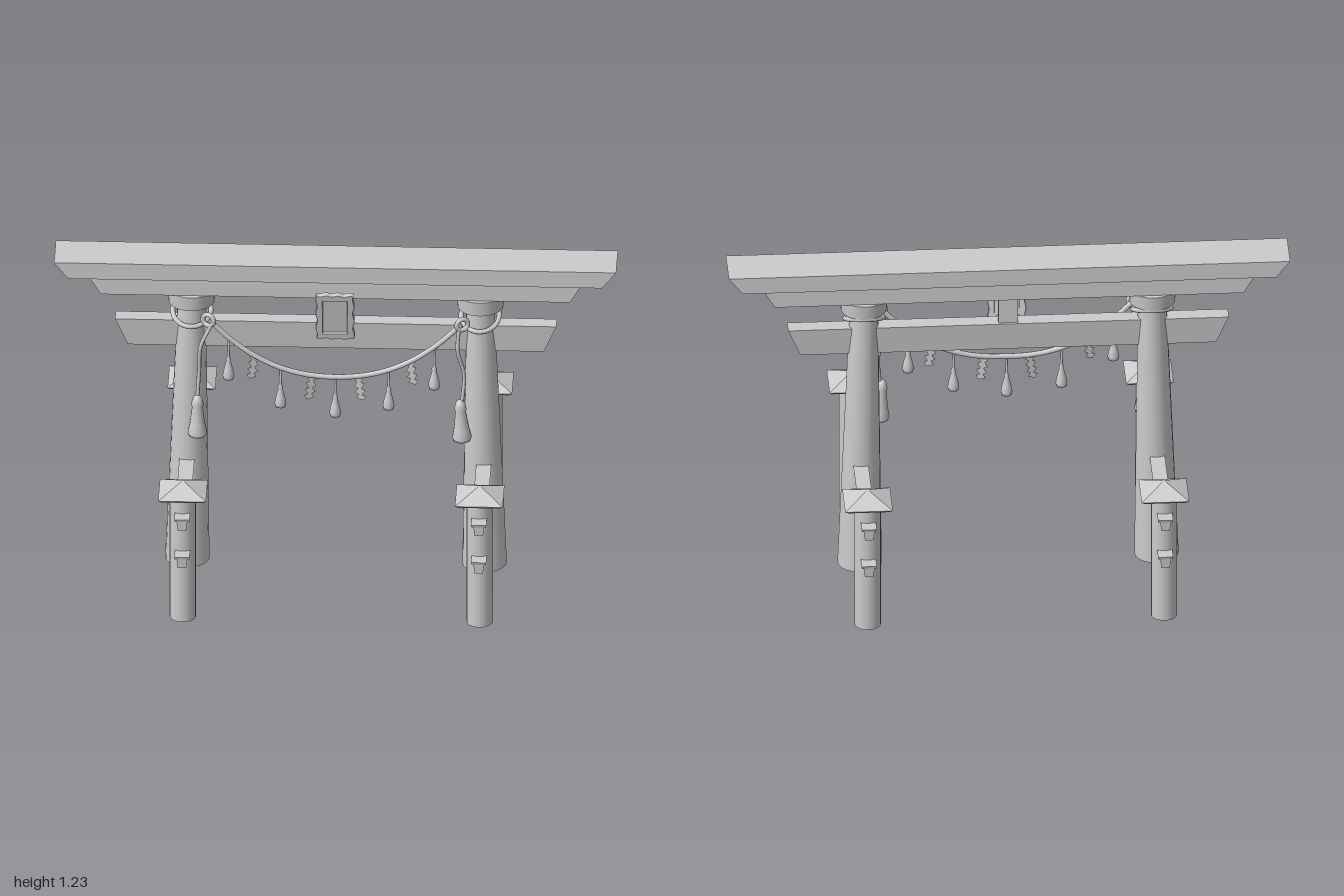
import * as THREE from 'three';

const V = (x, y, z) => new THREE.Vector3(x, y, z);

export function createModel() {
  const root = new THREE.Group();
  const smooth = new THREE.MeshStandardMaterial({ color: 0xcccccc });
  const flat = new THREE.MeshStandardMaterial({ color: 0xcccccc, flatShading: true });
  const thin = new THREE.MeshStandardMaterial({ color: 0xcccccc, side: THREE.DoubleSide });

  const add = (name, geo, x = 0, y = 0, z = 0, mat = smooth, parent = root) => {
    const m = new THREE.Mesh(geo, mat);
    m.name = name;
    m.position.set(x, y, z);
    parent.add(m);
    return m;
  };

  // Box with separate half sizes at its bottom and top
  const taperBox = (y0, y1, bx, bz, tx, tz) => {
    const g = new THREE.BoxGeometry(2, 1, 2);
    const p = g.attributes.position;
    for (let i = 0; i < p.count; i++) {
      const top = p.getY(i) > 0;
      p.setXYZ(i, p.getX(i) * (top ? tx : bx), top ? y1 : y0, p.getZ(i) * (top ? tz : bz));
    }
    g.computeVertexNormals();
    return g;
  };
  const rope = (points, r, closed = false, n = 48) =>
    new THREE.TubeGeometry(new THREE.CatmullRomCurve3(points, closed), n, r, 8, closed);
  const lathe = (pts, n = 14) =>
    new THREE.LatheGeometry(pts.map(([r, y]) => new THREE.Vector2(r, y)), n);

  // Cross beams
  add('topLintel', taperBox(1.164, 1.227, 0.95, 0.085, 1, 0.085), 0, 0, 0, flat);
  add('secondLintel', taperBox(1.095, 1.164, 0.835, 0.067, 0.876, 0.067), 0, 0, 0, flat);
  add('tieBeam', taperBox(0.87, 0.977, 0.74, 0.018, 0.785, 0.03), 0, 0, 0, flat);
  add('centreStrut', new THREE.BoxGeometry(0.07, 0.12, 0.04), 0, 1.036, 0, flat);

  for (const s of [-1, 1]) {
    // Leaning main pillar and its collar
    const pillar = add('mainPillar', new THREE.CylinderGeometry(0.05, 0.079, 1.05, 20), s * 0.521, 0.535, 0);
    pillar.rotation.z = s * 0.015;
    add('pillarCollar', new THREE.CylinderGeometry(0.086, 0.081, 0.055, 24), s * 0.514, 1.068, 0);

    // Side fence: rails with a wider cap strip
    for (const y of [0.239, 0.389]) {
      add('fenceRail', taperBox(y, y + 0.036, 0.015, 0.52, 0.019, 0.522), s * 0.528, 0, 0, flat);
      add('railCap', taperBox(y + 0.036, y + 0.046, 0.026, 0.523, 0.027, 0.526), s * 0.528, 0, 0, flat);
    }
    for (const z of [-0.432, 0.432]) {
      const post = new THREE.Group();
      post.name = 'fencePost';
      post.position.set(s * 0.528, 0, z);
      root.add(post);
      add('postShaft', new THREE.CylinderGeometry(0.047, 0.047, 0.485, 20), 0, 0.2425, 0, smooth, post);
      add('postNeck', new THREE.CylinderGeometry(0.051, 0.051, 0.014, 20), 0, 0.489, 0, smooth, post);
      add('roofSoffit', taperBox(0.493, 0.504, 0.073, 0.073, 0.085, 0.085), 0, 0, 0, flat, post);
      add('roofPyramid', taperBox(0.504, 0.543, 0.085, 0.085, 0.006, 0.006), 0, 0, 0, flat, post);
    }

    // Rope wound round the pillar, higher at the back
    const loop = [];
    for (let i = 0; i < 12; i++) {
      const a = i / 12 * Math.PI * 2;
      loop.push(V(s * 0.513 + 0.068 * Math.cos(a), 1.005 - 0.032 * Math.sin(a), 0.072 * Math.sin(a)));
    }
    add('pillarRope', rope(loop, 0.009, true), 0, 0, 0);

    // Knot, hanging cord and large tassel
    const kx = s * 0.452;
    const knot = add('ropeKnot', new THREE.TorusGeometry(0.021, 0.009, 8, 18), kx, 0.998, 0.066);
    knot.rotation.y = s * 0.4;
    const tx = s < 0 ? -0.49 : 0.452;
    add('tasselCord', rope([V(kx - s * 0.012, 0.985, 0.072), V(s < 0 ? -0.478 : 0.436, 0.9, 0.082),
      V(tx + 0.006, 0.8, 0.072), V(tx, 0.7, 0.08)], 0.007), 0, 0, 0);
    const big = add('largeTassel', lathe([[0, 0], [0.031, 0], [0.035, 0.012], [0.028, 0.045], [0.025, 0.065],
      [0.019, 0.115], [0.022, 0.122], [0.019, 0.14], [0.012, 0.155], [0, 0.162]]), tx, 0.545, 0.082);
    big.rotation.z = s < 0 ? 0 : 0.05;
  }

  // Swag rope between the pillars
  const sag = x => 0.785 + 0.215 * Math.pow(Math.abs(x) / 0.45, 2.3);
  const depth = x => 0.078 - 0.012 * Math.abs(x) / 0.45;
  const swag = [];
  for (let i = -6; i <= 6; i++) swag.push(V(i * 0.075, sag(i * 0.075), depth(i * 0.075)));
  add('swagRope', rope(swag, 0.01, false, 72));

  // Small bell-shaped tassels
  const bell = lathe([[0, -0.155], [0.018, -0.155], [0.021, -0.143], [0.017, -0.12], [0.008, -0.085],
    [0.01, -0.078], [0.005, -0.066], [0.004, 0], [0, 0]], 12);
  for (const x of [-0.38, -0.195, 0, 0.19, 0.352])
    add('smallTassel', bell, x, sag(x) + (Math.abs(x) > 0.3 ? -0.01 : 0), depth(x));

  // Zigzag paper streamers
  const zig = new THREE.Shape();
  const edge = [[0, 0], [0.01, -0.02], [-0.002, -0.026], [0.008, -0.046],
    [-0.006, -0.052], [0.005, -0.07], [-0.008, -0.076], [0, -0.092]];
  edge.forEach(([x, y], i) => i ? zig.lineTo(x - 0.012, y) : zig.moveTo(x - 0.012, y));
  [...edge].reverse().forEach(([x, y]) => zig.lineTo(x + 0.014, y + 0.006));
  const paper = new THREE.ExtrudeGeometry(zig, { depth: 0.003, bevelEnabled: false });
  for (const x of [-0.295, -0.09, 0.09, 0.275]) {
    const m = add('paperStreamer', paper, x, sag(x) - 0.004, depth(x), thin);
    m.rotation.y = x < 0 ? 0.2 : -0.2;
    m.scale.x = x < 0 ? 1 : -1;
  }

  // Plaque with a wavy frame, leaning forward
  const plaque = new THREE.Group();
  plaque.name = 'plaque';
  plaque.position.set(0, 1.033, 0.084);
  plaque.rotation.x = 0.19;
  root.add(plaque);
  const corners = [[-0.065, -0.096], [0.065, -0.096], [0.065, 0.096], [-0.065, 0.096]];
  const frame = new THREE.Shape();
  corners.forEach(([x, y], k) => {
    const [nx, ny] = corners[(k + 1) % 4];
    const len = Math.hypot(nx - x, ny - y);
    for (let i = 0; i < 16; i++) {
      const t = i / 16, w = 0.003 * Math.sin(t * Math.PI * 6);
      const px = x + (nx - x) * t + w * (ny - y) / len, py = y + (ny - y) * t - w * (nx - x) / len;
      k + i ? frame.lineTo(px, py) : frame.moveTo(px, py);
    }
  });
  const hole = new THREE.Path();
  hole.moveTo(-0.045, -0.074).lineTo(-0.045, 0.074).lineTo(0.045, 0.074).lineTo(0.045, -0.074).closePath();
  frame.holes.push(hole);
  add('plaqueFrame', new THREE.ExtrudeGeometry(frame, { depth: 0.014, bevelEnabled: true,
    bevelThickness: 0.003, bevelSize: 0.002, bevelSegments: 1 }), 0, 0, -0.007, flat, plaque);
  add('plaquePanel', new THREE.BoxGeometry(0.094, 0.152, 0.01), 0, 0, -0.004, flat, plaque);
  // Bracket holding the plaque to the strut
  add('plaqueBracket', new THREE.BoxGeometry(0.03, 0.03, 0.07), 0, 1.03, 0.045, flat);

  return root;
}
